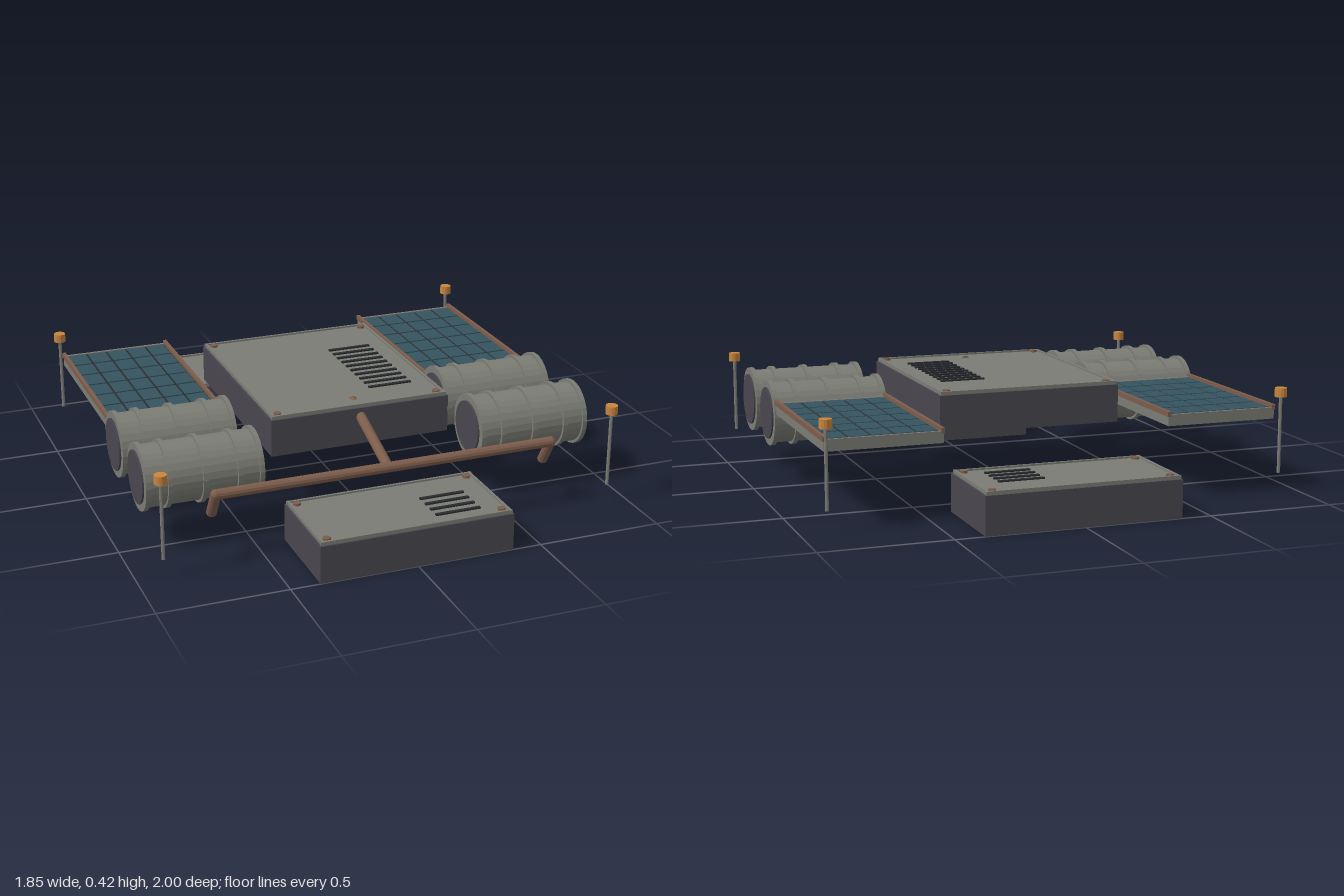
import * as THREE from 'three';

const mat = (name, color) => Object.assign(new THREE.MeshStandardMaterial({ color }), { name });

export function createModel() {
  const root = new THREE.Group();
  root.name = 'equipmentKit';
  const grey = mat('worn grey metal', 0x7b7c74);
  const dark = mat('dark casing', 0x49474e);
  const brown = mat('rusty pipe', 0x7d5d4c);
  const blue = mat('solar cell blue', 0x35535f);
  const orange = mat('orange lamp', 0xc9853f);
  const black = mat('slot black', 0x2a2c30);

  const add = (parent, name, geo, material, x = 0, y = 0, z = 0) => {
    const m = new THREE.Mesh(geo, material);
    m.name = name;
    m.position.set(x, y, z);
    parent.add(m);
    return m;
  };
  const box = (parent, name, material, w, h, d, x, y, z) =>
    add(parent, name, new THREE.BoxGeometry(w, h, d), material, x, y, z);
  const group = (name, x = 0, y = 0, z = 0) => {
    const g = new THREE.Group();
    g.name = name;
    g.position.set(x, y, z);
    root.add(g);
    return g;
  };
  // Faceted cylinder between two points
  const rod = (parent, name, material, a, b, r, sides = 12) => {
    const p = new THREE.Vector3(...a), q = new THREE.Vector3(...b);
    const dir = q.clone().sub(p);
    const geo = new THREE.CylinderGeometry(r, r, dir.length(), sides).toNonIndexed();
    geo.computeVertexNormals();
    const m = add(parent, name, geo, material);
    m.position.copy(p).add(q).multiplyScalar(0.5);
    m.quaternion.setFromUnitVectors(new THREE.Vector3(0, 1, 0), dir.normalize());
    return m;
  };

  // Casing with lid, raised edge strips, corner rivets and vent slots
  function casing(name, y, z, w, d, slots, slotStart, slotPitch) {
    const g = group(name, 0, y, z);
    box(g, 'casingBody', dark, w, 0.148, d, 0, 0.074, 0);
    box(g, 'lid', grey, w - 0.016, 0.008, d - 0.016, 0, 0.151, 0);
    for (const s of [-1, 1]) {
      box(g, 'sideStrip', grey, 0.01, 0.018, d - 0.01, s * (w / 2 - 0.012), 0.153, 0);
      box(g, 'endStrip', grey, w - 0.01, 0.018, 0.01, 0, 0.153, s * (d / 2 - 0.012));
      for (const t of [-1, 1]) {
        const x = s * (w / 2 - 0.037), rz = t * (d / 2 - 0.037);
        rod(g, 'rivet', brown, [x, 0.15, rz], [x, 0.164, rz], 0.015, 10);
      }
    }
    for (let i = 0; i < slots; i++)
      box(g, 'ventSlot', black, 0.18, 0.008, 0.014, 0.19, 0.157, slotStart + i * slotPitch - z);
  }
  casing('mainCasing', 0.26, -0.005, 0.735, 0.865, 10, -0.18, 0.0487);
  casing('frontCasing', 0, 0.808, 0.77, 0.384, 4, 0.775, 0.0487);
  casing('rearCasing', 0, -0.808, 0.77, 0.384, 4, -0.84, 0.0487);

  // T-shaped tow pipe with bent ends
  const tow = group('towBar');
  rod(tow, 'drawPipe', brown, [0, 0.275, 0.7], [0, 0.405, 0.33], 0.02);
  rod(tow, 'crossPipe', brown, [-0.68, 0.275, 0.705], [0.68, 0.275, 0.705], 0.02);
  for (const s of [-1, 1]) {
    rod(tow, 'bentEnd', brown, [s * 0.68, 0.275, 0.705], [s * 0.68, 0.175, 0.645], 0.02);
    add(tow, 'elbow', new THREE.SphereGeometry(0.0205, 12, 8), brown, s * 0.68, 0.275, 0.705);
  }

  for (const s of [-1, 1]) {
    // Drums lying sideways
    for (const z of [0.453, 0.13]) {
      const g = group('drum', s * 0.677, 0.275, z);
      rod(g, 'drumShell', grey, [-0.225, 0, 0], [0.225, 0, 0], 0.12, 28);
      for (const x of [-0.221, -0.135, 0, 0.135, 0.221])
        rod(g, 'drumHoop', grey, [x - 0.009, 0, 0], [x + 0.009, 0, 0], 0.131, 28);
      for (const e of [-1, 1])
        rod(g, 'drumEnd', dark, [e * 0.22, 0, 0], [e * 0.237, 0, 0], 0.103, 28);
    }

    // Solar panel: tray, backing, cell grid and side rails
    const p = group('solarPanel', s * 0.675, 0, -0.36);
    box(p, 'tray', grey, 0.45, 0.035, 0.74, 0, 0.308, 0);
    box(p, 'cellBacking', black, 0.43, 0.006, 0.72, 0, 0.328, 0);
    for (let i = 0; i < 5; i++)
      for (let j = 0; j < 6; j++)
        box(p, 'solarCell', blue, 0.076, 0.008, 0.107, (i - 2) * 0.086, 0.331, (j - 2.5) * 0.118);
    for (const e of [-1, 1]) {
      box(p, 'sideRail', brown, 0.014, 0.02, 0.755, e * 0.222, 0.337, 0.005);
      box(p, 'endLip', grey, 0.44, 0.014, 0.012, 0, 0.328, e * 0.364);
    }

    // Marker lamps on thin posts
    for (const z of [-0.775, 0.772]) {
      const x = s * 0.903;
      const g = group('markerLamp');
      rod(g, 'post', grey, [x, 0.085, z], [x, 0.395, z], 0.007, 8);
      rod(g, 'lamp', orange, [x, 0.385, z], [x, 0.42, z], 0.024, 14);
    }
  }
  return root;
}
